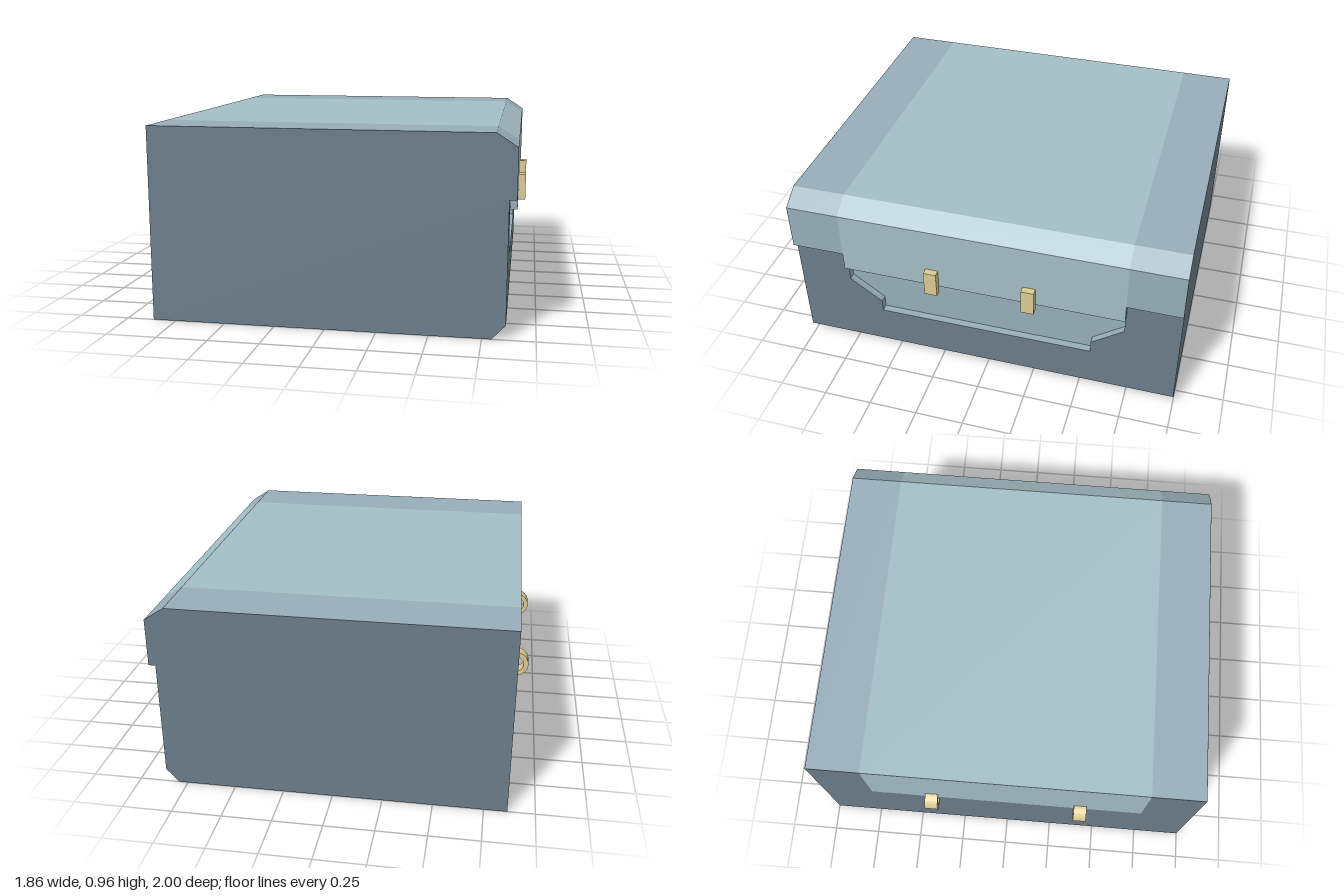
import * as THREE from 'three';

const material = (color) => new THREE.MeshStandardMaterial({ color, flatShading: true });

// Extrudes a closed outline of [x, y] points along z, starting at z0
function prism(points, z0, z1, curveSegments = 12) {
  const shape = points instanceof THREE.Shape
    ? points
    : new THREE.Shape(points.map(([x, y]) => new THREE.Vector2(x, y)));
  const geo = new THREE.ExtrudeGeometry(shape, { depth: z1 - z0, bevelEnabled: false, curveSegments });
  return geo.translate(0, 0, z0);
}

export function createModel() {
  const dark = material(0x6b7d89);
  const mid = material(0x97aeb9);
  const light = material(0xa4bec5);
  const gold = material(0xdccb92);

  const group = new THREE.Group();
  const add = (name, geo, mat) => {
    const mesh = new THREE.Mesh(geo, mat);
    mesh.name = name;
    group.add(mesh);
    return mesh;
  };

  const L = -0.865;     // hinge side
  const W = 0.728;      // half width of the middle section
  const E = 0.997;      // inner face of the end plates

  // Outlines in x, y
  const silhouette = [[L, 0], [0.795, 0], [0.86, 0.07], [0.86, 0.66], [0.895, 0.66],
    [0.895, 0.9], [0.795, 0.965], [L, 0.965]];
  const endBody = [[L, 0], [0.795, 0], [0.86, 0.07], [0.86, 0.87], [0.78, 0.93], [L, 0.965]];
  const endLid = [[L, 0.965], [0.78, 0.93], [0.86, 0.87], [0.86, 0.66], [0.895, 0.66],
    [0.895, 0.9], [0.795, 0.965]];
  const middleBody = [[L, 0], [0.795, 0], [0.86, 0.07], [0.82, 0.07], [0.82, 0.52], [L, 0.52]];
  const middleLid = [[L, 0.52], [0.82, 0.52], [0.82, 0.565], [0.895, 0.565],
    [0.895, 0.9], [0.795, 0.965], [L, 0.965]];

  // Middle section
  add('middleBody', prism(middleBody, -W, W), dark);
  add('middleLid', prism(middleLid, -W, W), [mid, light]);

  // Two end sections, each closed by a dark plate
  for (const s of [-1, 1]) {
    const span = (a, b) => (s > 0 ? [a, b] : [-b, -a]);
    const side = s > 0 ? 'front' : 'back';
    add(side + 'EndBody', prism(endBody, ...span(W, E)), dark);
    add(side + 'EndLid', prism(endLid, ...span(W, E)), mid);
    add(side + 'EndPlate', prism(silhouette, ...span(E, 1)), dark);
  }

  // Notched plate around the recess, with pale inner walls
  const half = [[W, 0.07], [W, 0.565], [0.724, 0.565], [0.724, 0.465], [0.56, 0.345], [0.56, 0.28]];
  const notch = [...half, ...half.map(([z, y]) => [-z, y]).reverse()];
  add('notchedPlate', prism(notch, 0.82, 0.86).rotateY(Math.PI / 2), [dark, mid]);

  // Pale panel at the back of the recess
  add('recessPanel', new THREE.BoxGeometry(0.004, 0.285, 2 * W - 0.004).translate(0.82, 0.4225, 0), mid);

  // Half-ring hinge outline
  const ring = new THREE.Shape();
  ring.absarc(L, 0.52, 0.067, Math.PI / 2, Math.PI * 1.5, false);
  ring.absarc(L, 0.52, 0.043, Math.PI * 1.5, Math.PI / 2, true);

  for (const s of [-1, 1]) {
    const side = s > 0 ? 'front' : 'back';
    add(side + 'Clasp', new THREE.BoxGeometry(0.035, 0.135, 0.065), gold).position.set(0.9125, 0.598, s * 0.25);
    add(side + 'Hinge', prism(ring, -0.034, 0.034, 8), gold).position.z = s * 0.398;
  }

  return group;
}
